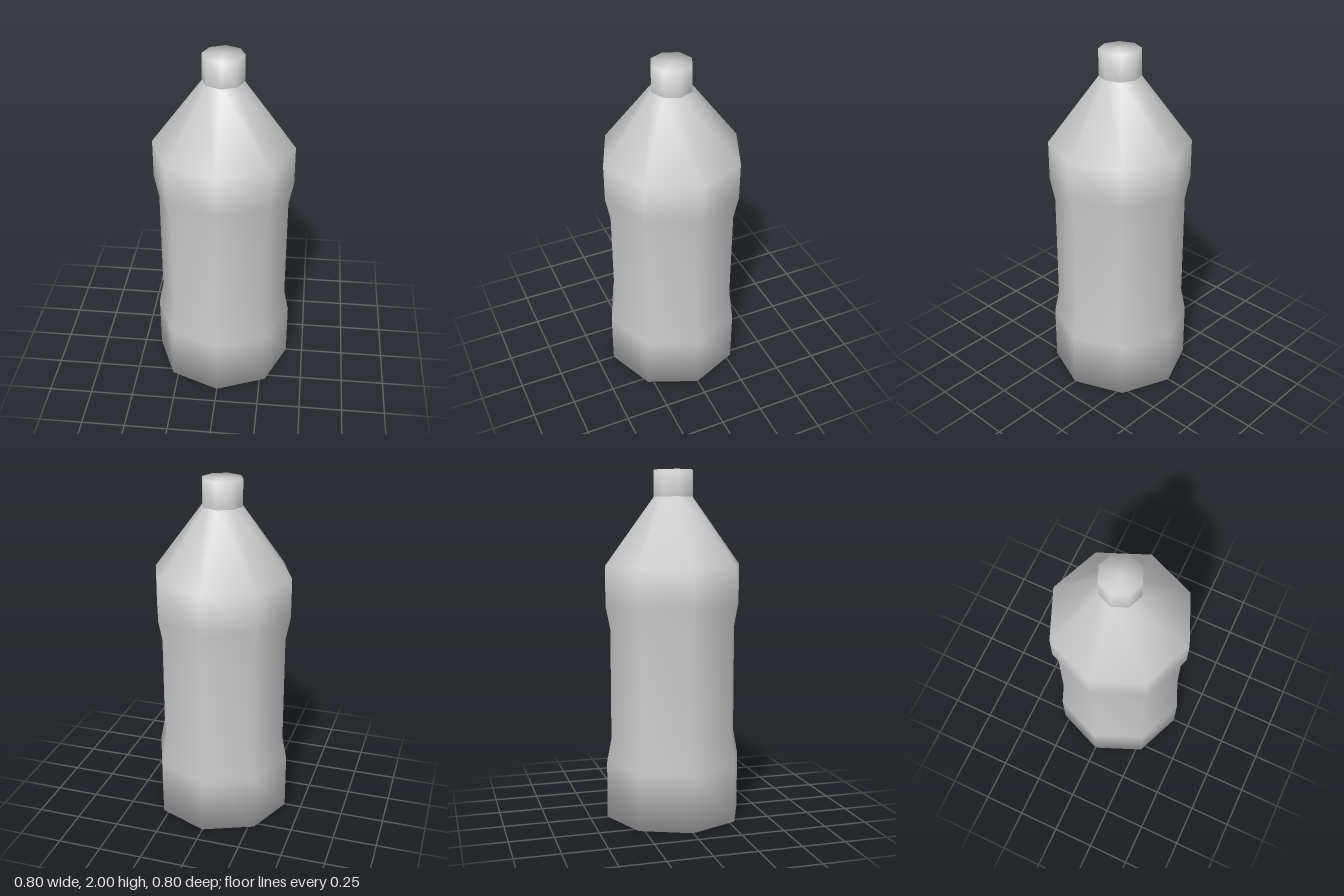
import * as THREE from 'three';

const SIDES = 8;

// Eight-sided smooth solid of revolution from [radius, height] pairs, bottom to top
function turned(name, profile, material) {
  const points = profile.map(([r, y]) => new THREE.Vector2(r, y));
  const mesh = new THREE.Mesh(new THREE.LatheGeometry(points, SIDES), material);
  mesh.name = name;
  return mesh;
}

export function createModel() {
  const model = new THREE.Group();
  model.name = 'bottle';
  const grey = new THREE.MeshStandardMaterial({ color: 0xcccccc, side: THREE.DoubleSide });

  // Body: closed base, recessed grip band, sloping shoulder
  model.add(turned('body', [
    [0, 0], [0.4, 0], [0.4, 0.33], [0.373, 0.47],
    [0.373, 1.1], [0.4, 1.24], [0.4, 1.465], [0.115, 1.85],
  ], grey));

  // Cap: short straight collar with a closed top
  model.add(turned('cap', [[0.116, 1.85], [0.116, 2], [0, 2]], grey));

  return model;
}
